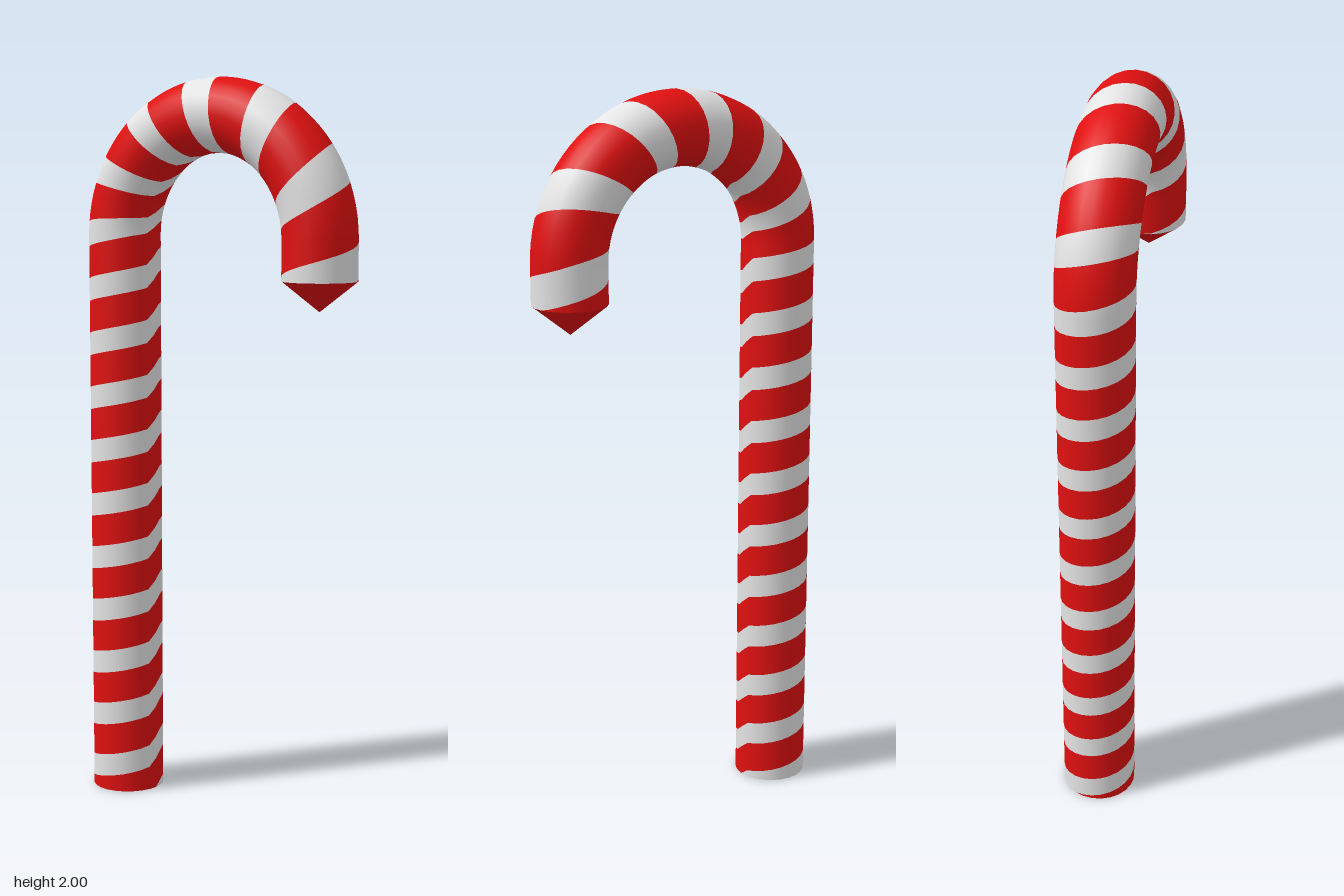
import * as THREE from 'three';

const TUBE = 0.1;       // cane thickness (radius)
const R = 0.324;        // bend radius
const H = 1.576;        // height where the bend starts
const DROP = 0.106;     // straight piece after the bend
const LENGTH = H + Math.PI * R + DROP;
const SIDES = 24;

// Point and normal on the cane: s along its length, a around it (0 = outside of the bend)
function canePoint(s, a) {
  const phi = THREE.MathUtils.clamp((s - H) / R, 0, Math.PI) - Math.PI / 2;
  const straight = Math.min(s - H, 0) - Math.max(s - H - Math.PI * R, 0);
  const out = new THREE.Vector3(Math.sin(phi), Math.cos(phi), 0);
  const normal = out.clone().multiplyScalar(Math.cos(a));
  normal.z = Math.sin(a);
  const point = out.multiplyScalar(R).addScaledVector(normal, TUBE);
  point.y += H + straight;
  return { point, normal };
}

// Stripe number to length along the cane; stripes widen over the bend
function stripeLength(k) {
  const m = Math.max(k - 11, 0);
  const s = 0.042 + 0.152 * k + 0.0075 * m * m;
  return THREE.MathUtils.clamp(s, 0, LENGTH);
}

// Spiral ribbons covering the stripe fractions v0..v1
function spiral(v0, v1) {
  const pos = [], nor = [], idx = [];
  const steps = 5, row = SIDES + 1;
  for (let k = -2; k <= 18; k++) {
    const base = pos.length / 3;
    for (let j = 0; j <= steps; j++) {
      for (let i = 0; i <= SIDES; i++) {
        const u = i / SIDES - 0.5;
        const twist = i === 0 || i === SIDES ? u : 0.8 * u;
        const s = stripeLength(k + twist + v0 + (v1 - v0) * j / steps);
        const { point, normal } = canePoint(s, u * Math.PI * 2);
        pos.push(...point.toArray());
        nor.push(...normal.toArray());
        if (i < SIDES && j < steps) {
          const a = base + j * row + i;
          idx.push(a, a + 1, a + row, a + 1, a + row + 1, a + row);
        }
      }
    }
  }
  const g = new THREE.BufferGeometry();
  g.setAttribute('position', new THREE.Float32BufferAttribute(pos, 3));
  g.setAttribute('normal', new THREE.Float32BufferAttribute(nor, 3));
  g.setIndex(idx);
  return g;
}

export function createModel() {
  const red = new THREE.MeshStandardMaterial({ color: 0xe01010 });
  red.name = 'red';
  const white = new THREE.MeshStandardMaterial({ color: 0xe4e4e4 });
  white.name = 'white';

  const cane = new THREE.Group();
  cane.name = 'stripedCane';
  const add = (name, geometry, material) => {
    const mesh = new THREE.Mesh(geometry, material);
    mesh.name = name;
    cane.add(mesh);
    return mesh;
  };

  // Striped shaft and hook
  add('whiteStripes', spiral(-0.21, 0.21), white);
  add('redStripes', spiral(0.21, 0.79), red);

  // Flat foot
  const foot = add('foot', new THREE.CircleGeometry(TUBE, SIDES).rotateX(Math.PI / 2), white);
  foot.position.x = -R;

  // Pointed tip of the hook
  const tip = add('hookTip', new THREE.ConeGeometry(TUBE, 0.08, SIDES, 1, true).rotateX(Math.PI), red);
  tip.position.set(R, H - DROP - 0.04, 0);

  // The hook points forward and to the left
  cane.rotation.y = -0.6;
  const model = new THREE.Group();
  model.name = 'model';
  model.add(cane);
  return model;
}
